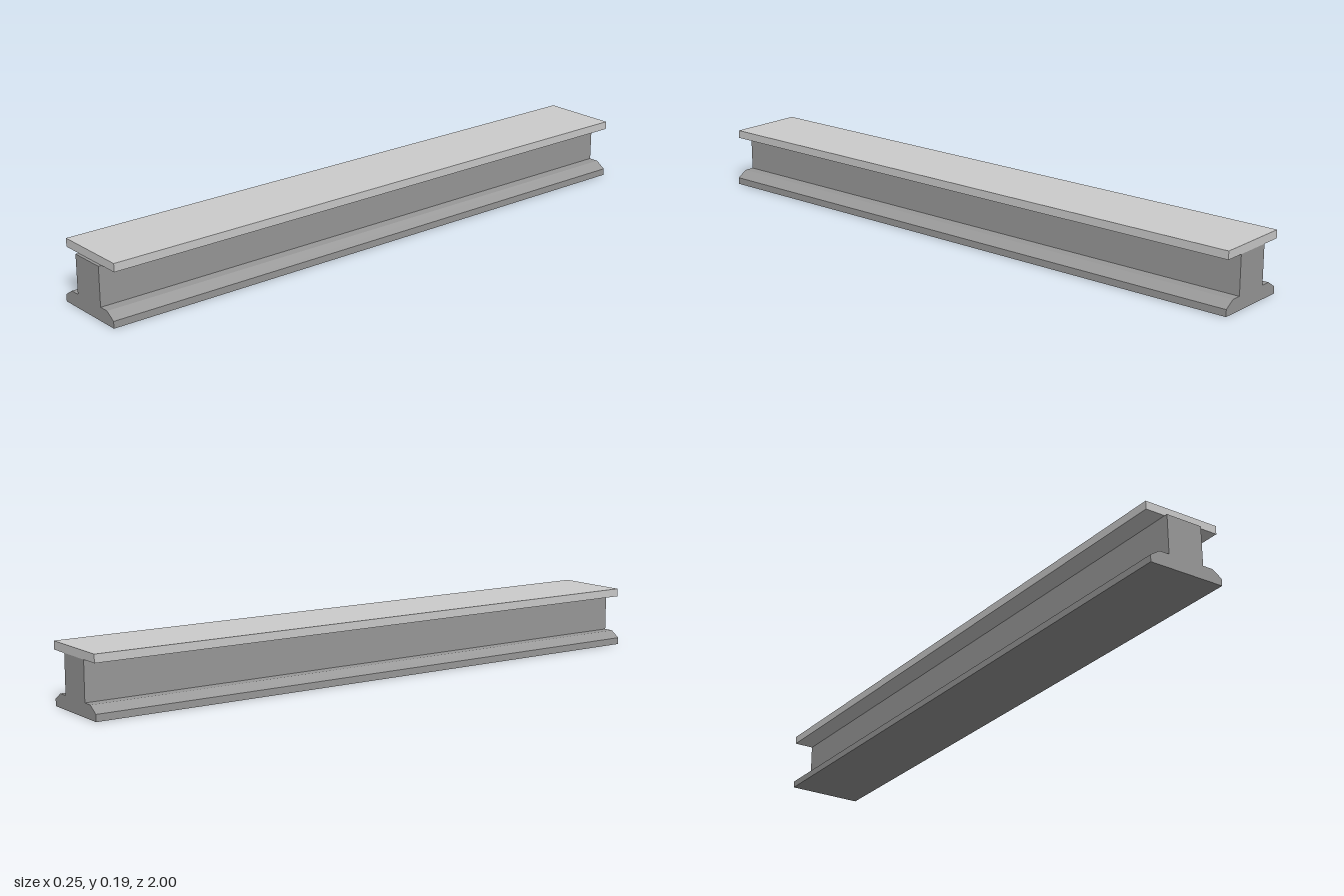
import * as THREE from 'three';

export function createModel() {
  const lightGrey = new THREE.MeshStandardMaterial({ color: 0xcccccc });
  lightGrey.name = 'lightGrey';
  const midGrey = new THREE.MeshStandardMaterial({ color: 0x999999 });
  midGrey.name = 'midGrey';

  const group = new THREE.Group();
  group.name = 'beam';

  // Half profile of the chamfered foot and web, mirrored across x = 0
  const half = [[0.125, 0], [0.125, 0.022], [0.093, 0.043], [0.06, 0.043], [0.06, 0.167]];
  const mirrored = half.map(([x, y]) => [-x, y]).reverse();
  const profile = new THREE.Shape([...half, ...mirrored].map(([x, y]) => new THREE.Vector2(x, y)));
  const bodyGeometry = new THREE.ExtrudeGeometry(profile, { depth: 2, bevelEnabled: false });
  bodyGeometry.translate(0, 0, -1);
  const body = new THREE.Mesh(bodyGeometry, midGrey);
  body.name = 'footAndWeb';
  group.add(body);

  // Flat top flange, stopping just short of the front end
  const flange = new THREE.Mesh(new THREE.BoxGeometry(0.25, 0.026, 1.99), lightGrey);
  flange.name = 'topFlange';
  flange.position.set(0, 0.18, -0.005);
  group.add(flange);

  return group;
}
